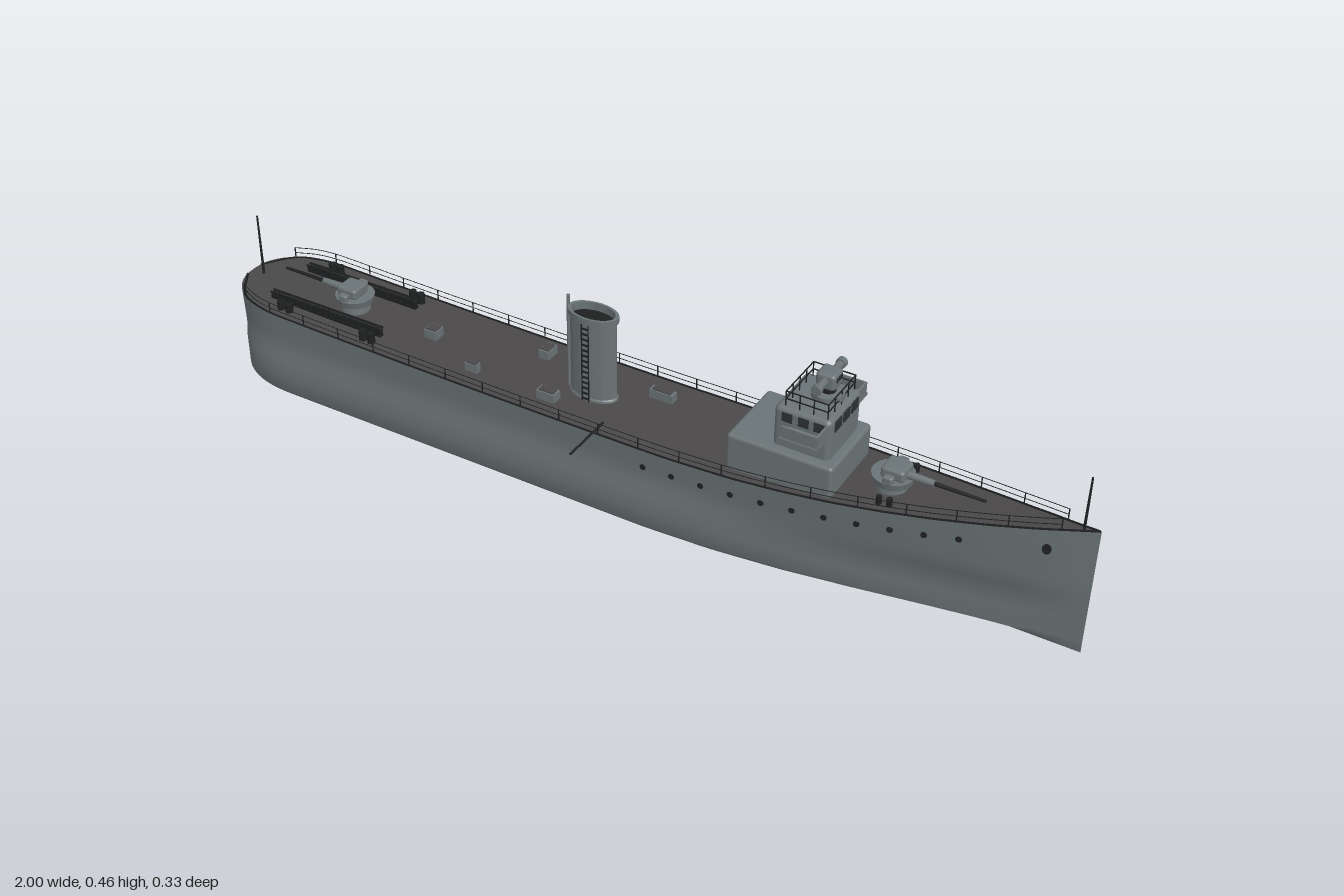
import * as THREE from 'three';
import { toCreasedNormals } from 'three/addons/utils/BufferGeometryUtils.js';
import { RoundedBoxGeometry } from 'three/addons/geometries/RoundedBoxGeometry.js';

const mat = (name, color, side = THREE.FrontSide) => {
  const m = new THREE.MeshStandardMaterial({ color, side });
  m.name = name;
  return m;
};

// sheer line: deck height along the ship (bow at +x)
const deckY = x => x > 0 ? 0.213 + 0.087 * x ** 2.2
  : 0.213 + 0.013 * Math.max(0, (-0.1 - x) / 0.9) ** 2;

const lerpTable = (t, x) => {
  for (let i = 1; i < t.length; i++) {
    if (x <= t[i][0]) {
      const [x0, a] = t[i - 1], [x1, b] = t[i];
      return a + (b - a) * (x - x0) / (x1 - x0);
    }
  }
  return t[t.length - 1][1];
};
const TOP = [[-1, 0.122], [0.15, 0.122], [0.3, 0.118], [0.4, 0.111], [0.5, 0.101], [0.6, 0.087],
  [0.7, 0.07], [0.8, 0.05], [0.9, 0.027], [1, 0.0005]];
const LOW = [[-1, 0.124], [0.1, 0.124], [0.25, 0.116], [0.4, 0.098], [0.55, 0.072], [0.7, 0.043],
  [0.8, 0.025], [0.9, 0.01], [1, 0.0005]];
const sternRound = x => x > -0.82 ? 1
  : Math.max(0, 1 - ((-0.82 - x) / 0.18) ** 2.3) ** (1 / 2.3);
const topHalf = x => lerpTable(TOP, x) * sternRound(x);
const lowHalf = x => lerpTable(LOW, x) * sternRound(x);

// half cross-section from keel to deck edge, as [half width, height]
const section = x => {
  const l = lowHalf(x), t = topHalf(x), d = deckY(x);
  return [[0, 0.002], [l * 0.95, 0.016], [l, 0.026], [l, 0.065], [l, 0.105],
    [0.5 * (l + t) - 0.055 * l, 0.126], [0.3 * l + 0.7 * t - 0.04 * l, 0.165], [t, d]];
};
const halfAt = (x, y) => {
  const s = section(x).map(([w, h]) => [h, w]);
  return lerpTable(s, y);
};

// skins a list of equal-length point rows
function loft(rows, crease) {
  const n = rows[0].length, idx = [];
  for (let i = 0; i < rows.length - 1; i++) {
    for (let j = 0; j < n - 1; j++) {
      const a = i * n + j, b = a + n;
      idx.push(a, b, b + 1, a, b + 1, a + 1);
    }
  }
  const g = new THREE.BufferGeometry();
  g.setAttribute('position', new THREE.Float32BufferAttribute(rows.flat(2), 3));
  g.setIndex(idx);
  g.computeVertexNormals();
  return toCreasedNormals(g, crease);
}

export function createModel() {
  const model = new THREE.Group();
  model.name = 'warship';
  const ship = new THREE.Group();
  ship.name = 'ship';
  ship.position.z = -0.042;
  model.add(ship);

  const grey = mat('hull grey', 0x6a7375);
  const deckMat = mat('deck dark grey', 0x4a4848, THREE.DoubleSide);
  const black = mat('fittings black', 0x1e2021);
  const glass = mat('window dark', 0x2c3132);

  const add = (name, geo, m, x = 0, y = 0, z = 0, parent = ship) => {
    const mesh = new THREE.Mesh(geo, m);
    mesh.name = name;
    mesh.position.set(x, y, z);
    parent.add(mesh);
    return mesh;
  };
  const box = (name, w, h, d, m, x, y, z, p) => add(name, new THREE.BoxGeometry(w, h, d), m, x, y, z, p);
  const round = (name, w, h, d, r, m, x, y, z, p) =>
    add(name, new RoundedBoxGeometry(w, h, d, 3, r), m, x, y, z, p);
  const cyl = (name, r0, r1, h, m, x, y, z, p, n = 20) =>
    add(name, new THREE.CylinderGeometry(r0, r1, h, n), m, x, y, z, p);

  // hull and deck
  const xs = [];
  for (let i = 0; i < 14; i++) xs.push(-1 + 0.18 * (1 - Math.cos(i / 14 * Math.PI / 2)));
  for (let i = 0; i <= 52; i++) xs.push(-0.82 + 1.82 * i / 52);
  add('hull', loft(xs.map(x => {
    const s = section(x);
    return [...s.slice(1).reverse().map(([w, y]) => [x, y, -w]), ...s.map(([w, y]) => [x, y, w])];
  }), 0.7), grey);
  add('deck', loft(xs.map(x => [[x, deckY(x), topHalf(x)], [x, deckY(x), -topHalf(x)]]), 0.5), deckMat);

  // gunwale strip, guard rails, posts, portholes and hawse holes on both sides
  for (const s of [1, -1]) {
    const line = (name, from, to, lift, r) => {
      const pts = [];
      for (let i = 0; i <= 40; i++) {
        const x = from + (to - from) * i / 40;
        pts.push(new THREE.Vector3(x, deckY(x) + lift, s * Math.max(0, topHalf(x) - 0.002)));
      }
      add(name, new THREE.TubeGeometry(new THREE.CatmullRomCurve3(pts), 120, r, 4), black);
    };
    line('gunwaleStrip', -0.998, 0.998, 0, 0.0028);
    line('lowerRail', -0.95, 0.93, 0.013, 0.001);
    line('upperRail', -0.95, 0.93, 0.026, 0.001);
    for (let i = 0; i <= 20; i++) {
      const x = -0.95 + 1.88 * i / 20;
      box('railPost', 0.002, 0.026, 0.002, black, x, deckY(x) + 0.013, s * (topHalf(x) - 0.002));
    }
    const plate = (name, r, x, y, stretch) => {
      const slope = (halfAt(x + 0.01, y) - halfAt(x - 0.01, y)) / 0.02;
      const disc = cyl(name, r, r, 0.005, black, x, y, s * halfAt(x, y), ship, 12);
      disc.rotation.set(Math.PI / 2, 0, s * Math.atan(slope));
      disc.scale.z = stretch;
    };
    for (let i = 0; i < 11; i++) {
      const x = 0.095 + 0.0655 * i;
      plate('porthole', 0.0065, x, deckY(x) - 0.043, 1);
    }
    plate('hawseHole', 0.009, 0.91, 0.237, 1.3);
  }

  // flagstaffs and side boom
  cyl('bowStaff', 0.002, 0.003, 0.125, black, 0.967, 0.35, 0, ship, 8);
  cyl('sternStaff', 0.002, 0.003, 0.15, black, -0.97, 0.298, 0, ship, 8);
  cyl('sideBoom', 0.0025, 0.0025, 0.125, black, -0.02, 0.216, 0.1465, ship, 8).rotation.x = Math.PI / 2;

  // oval funnel with cap, steam pipe and ladder
  const funnel = new THREE.Group();
  funnel.name = 'funnel';
  funnel.position.set(-0.093, 0.205, 0);
  ship.add(funnel);
  const profile = [[0.058, 0], [0.056, 0.012], [0.053, 0.015], [0.053, 0.195], [0.058, 0.197],
    [0.058, 0.21], [0.05, 0.21], [0.05, 0.185]].map(p => new THREE.Vector2(...p));
  add('funnelCasing', toCreasedNormals(new THREE.LatheGeometry(profile, 32), 0.6), grey, 0, 0, 0, funnel).scale.z = 0.58;
  cyl('funnelMouth', 0.051, 0.051, 0.004, black, 0, 0.19, 0, funnel, 32).scale.z = 0.58;
  cyl('steamPipe', 0.004, 0.004, 0.23, grey, -0.06, 0.115, 0, funnel, 10);
  for (const s of [1, -1]) {
    for (const x of [-0.008, 0.008]) box('ladderRail', 0.002, 0.19, 0.002, black, x, 0.1, s * 0.034, funnel);
    for (let i = 0; i < 14; i++) box('ladderRung', 0.016, 0.004, 0.002, black, 0, 0.014 + i * 0.0132, s * 0.034, funnel);
  }

  // deckhouse, bridge and wings
  round('deckhouse', 0.23, 0.1, 0.178, 0.008, grey, 0.38, 0.25, 0);
  round('bridge', 0.122, 0.1, 0.138, 0.012, grey, 0.416, 0.34, 0);
  for (const z of [-0.036, 0, 0.036]) box('frontWindow', 0.004, 0.023, 0.028, glass, 0.477, 0.37, z);
  for (const s of [1, -1]) {
    for (const x of [0.385, 0.42, 0.453]) box('sideWindow', 0.022, 0.02, 0.004, glass, x, 0.371, s * 0.069);
    box('wingFloor', 0.08, 0.006, 0.045, grey, 0.43, 0.349, s * 0.089);
    box('wingFront', 0.005, 0.028, 0.042, grey, 0.467, 0.364, s * 0.087);
    box('wingSide', 0.075, 0.028, 0.004, grey, 0.43, 0.364, s * 0.107);
    // bridge roof railing
    for (const y of [0.406, 0.423]) box('roofRail', 0.09, 0.002, 0.002, black, 0.42, y, s * 0.058);
    for (const x of [0.375, 0.405, 0.435, 0.465]) box('roofPost', 0.002, 0.035, 0.002, black, x, 0.406, s * 0.058);
  }
  for (const x of [0.375, 0.465]) {
    for (const y of [0.406, 0.423]) box('roofRail', 0.002, 0.002, 0.116, black, x, y, 0);
    for (const z of [-0.029, 0, 0.029]) box('roofPost', 0.002, 0.035, 0.002, black, x, 0.406, z);
  }

  // rangefinder on its pedestal
  const finder = new THREE.Group();
  finder.name = 'rangefinder';
  finder.position.set(0.436, 0, 0);
  ship.add(finder);
  cyl('finderPlatform', 0.033, 0.033, 0.012, grey, 0, 0.407, 0, finder);
  cyl('finderPedestal', 0.014, 0.017, 0.04, black, 0, 0.41, 0, finder);
  round('finderHead', 0.042, 0.036, 0.042, 0.008, grey, 0, 0.442, 0, finder);
  cyl('finderTube', 0.008, 0.008, 0.11, grey, 0, 0.445, 0, finder, 14).rotation.x = Math.PI / 2;
  for (const s of [1, -1]) cyl('finderEnd', 0.011, 0.011, 0.012, grey, 0, 0.445, s * 0.053, finder, 14).rotation.x = Math.PI / 2;
  for (const z of [-0.009, 0, 0.009]) box('finderSlit', 0.003, 0.01, 0.006, glass, 0.021, 0.448, z, finder);

  // deck guns, fore and aft
  const gun = (name, x, y, turn) => {
    const g = new THREE.Group();
    g.name = name;
    g.position.set(x, y, 0);
    g.rotation.y = turn;
    ship.add(g);
    cyl('gunBase', 0.03, 0.034, 0.03, grey, 0, 0.008, 0, g);
    cyl('gunPlatform', 0.044, 0.04, 0.016, grey, 0, 0.03, 0, g, 16);
    round('gunShield', 0.05, 0.026, 0.05, 0.007, grey, 0.006, 0.048, 0, g);
    for (const s of [1, -1]) round('gunSight', 0.022, 0.02, 0.016, 0.005, grey, 0.004, 0.043, s * 0.034, g);
    cyl('gunSleeve', 0.007, 0.009, 0.06, grey, 0.055, 0.044, 0, g, 12).rotation.z = -Math.PI / 2;
    cyl('gunBarrel', 0.0032, 0.0045, 0.11, black, 0.135, 0.044, 0, g, 10).rotation.z = -Math.PI / 2;
  };
  gun('foreGun', 0.585, 0.235, 0);
  gun('aftGun', -0.71, 0.217, Math.PI);

  // stern racks with their charges and throwers
  for (const s of [1, -1]) {
    for (const z of [0.059, 0.07]) box('rackRail', 0.3, 0.004, 0.003, black, -0.742, 0.239, s * z);
    box('rackBed', 0.3, 0.006, 0.012, black, -0.742, 0.222, s * 0.0645);
    for (let i = 0; i < 16; i++) {
      cyl('charge', 0.0085, 0.0085, 0.011, black, -0.883 + i * 0.0188, 0.231, s * 0.0645, ship, 10).rotation.x = Math.PI / 2;
    }
    for (const x of [-0.845, -0.823, -0.622, -0.6]) cyl('thrower', 0.009, 0.009, 0.024, black, x, 0.229, s * 0.092, ship, 10);
    for (const x of [0.585, 0.607]) cyl('bollard', 0.006, 0.006, 0.02, black, x, deckY(x) + 0.008, s * 0.063, ship, 10);
  }

  // deck hatches
  for (const [x, z, w, d] of [[-0.5, 0, 0.03, 0.03], [-0.25, -0.067, 0.024, 0.036],
    [0.04, -0.056, 0.055, 0.02], [-0.165, 0.065, 0.044, 0.025], [-0.355, 0.064, 0.03, 0.015]]) {
    box('hatch', w, 0.024, d, grey, x, deckY(x) + 0.008, z);
    box('hatchLid', w * 0.8, 0.003, d * 0.75, deckMat, x, deckY(x) + 0.021, z);
  }
  return model;
}
